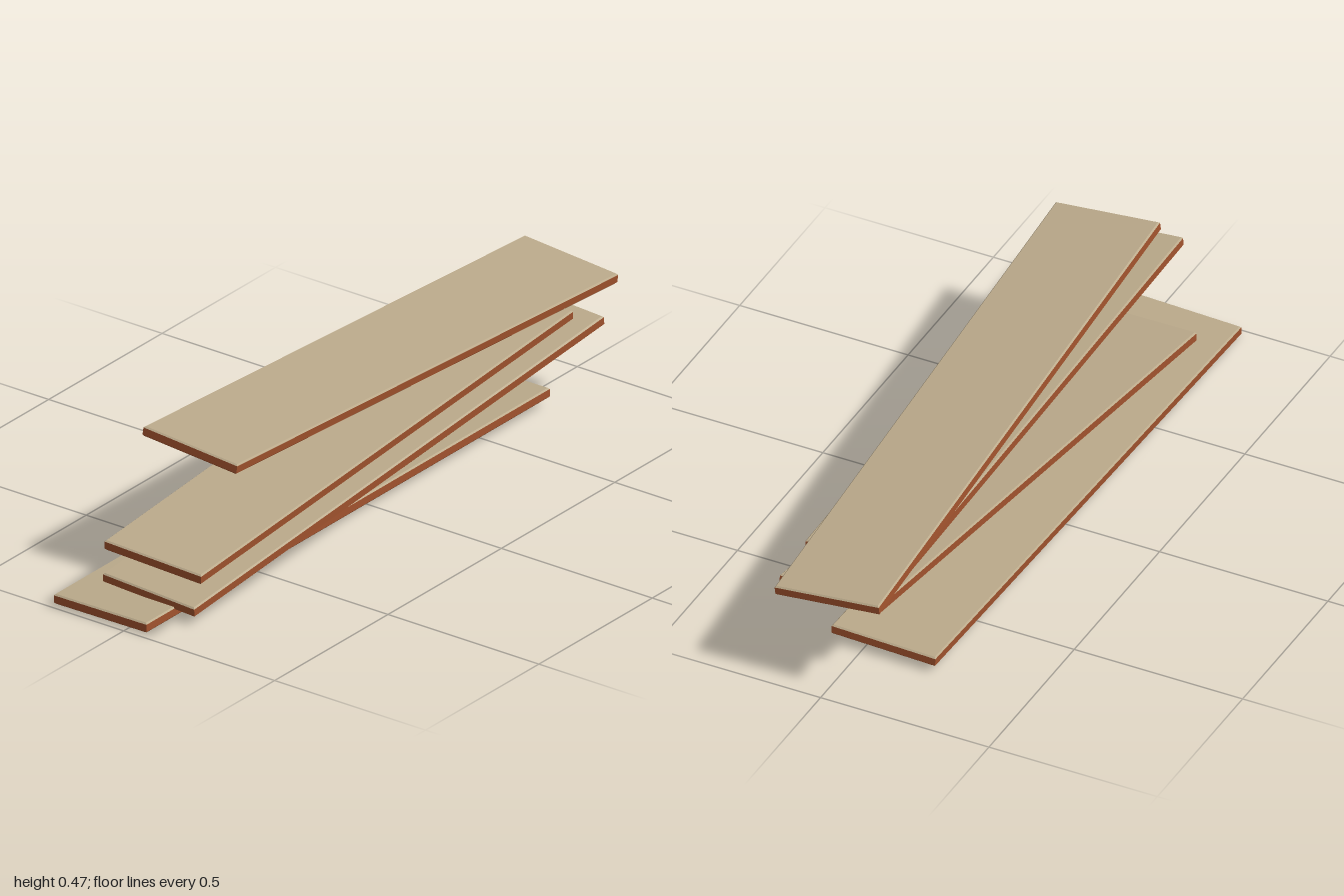
import * as THREE from 'three';

const THICK = 0.029, BEVEL = 0.004;

// Board with chamfered edges; upward faces use material 0, the rest material 1
function boardGeometry(length, width) {
  const l = length / 2 - BEVEL, w = width / 2 - BEVEL;
  const shape = new THREE.Shape([
    new THREE.Vector2(-l, -w), new THREE.Vector2(l, -w),
    new THREE.Vector2(l, w), new THREE.Vector2(-l, w),
  ]);
  const geo = new THREE.ExtrudeGeometry(shape, {
    depth: THICK - 2 * BEVEL, bevelEnabled: true,
    bevelSize: BEVEL, bevelThickness: BEVEL, bevelSegments: 1,
  });
  geo.rotateX(-Math.PI / 2);
  geo.translate(0, BEVEL - THICK, 0); // top surface at y = 0
  geo.computeVertexNormals();
  geo.clearGroups();
  const normal = geo.attributes.normal;
  for (let i = 0; i < normal.count; i += 3) geo.addGroup(i, 3, normal.getY(i) > 0.3 ? 0 : 1);
  return geo;
}

// Top-face corners: left front, left back, right front, right back
const boards = {
  bottomBoard: [[-0.985, 0.036, 0.064], [-0.98, 0.03, -0.247], [0.762, 0.058, 0.088], [0.765, 0.053, -0.222]],
  lowerBoard: [[-0.866, 0.055, 0.134], [-0.86, 0.065, -0.176], [0.87, 0.258, 0.188], [0.872, 0.268, -0.12]],
  upperBoard: [[-0.985, 0.23, 0.246], [-1.0, 0.25, -0.064], [0.76, 0.309, 0.166], [0.747, 0.328, -0.142]],
  topBoard: [[-0.746, 0.446, 0.186], [-0.754, 0.474, -0.119], [0.998, 0.317, 0.139], [0.99, 0.345, -0.168]],
};

export function createModel() {
  const group = new THREE.Group();
  const face = new THREE.MeshStandardMaterial({ color: 0xbaa98a });
  face.name = 'pale wood face';
  const edge = new THREE.MeshStandardMaterial({ color: 0xa0522d });
  edge.name = 'reddish brown wood';

  for (const [name, corners] of Object.entries(boards)) {
    const [lf, lb, rf, rb] = corners.map((c) => new THREE.Vector3(...c));
    const along = rf.clone().add(rb).sub(lf).sub(lb).multiplyScalar(0.5);
    const across = lf.clone().add(rf).sub(lb).sub(rb).multiplyScalar(0.5);
    const mesh = new THREE.Mesh(boardGeometry(along.length(), across.length()), [face, edge]);
    mesh.name = name;
    // Orient the board to its own tilt, roll and yaw
    const x = along.clone().normalize();
    const y = across.clone().cross(along).normalize();
    const z = x.clone().cross(y);
    mesh.quaternion.setFromRotationMatrix(new THREE.Matrix4().makeBasis(x, y, z));
    mesh.position.copy(lf).add(lb).add(rf).add(rb).multiplyScalar(0.25);
    group.add(mesh);
  }
  return group;
}
